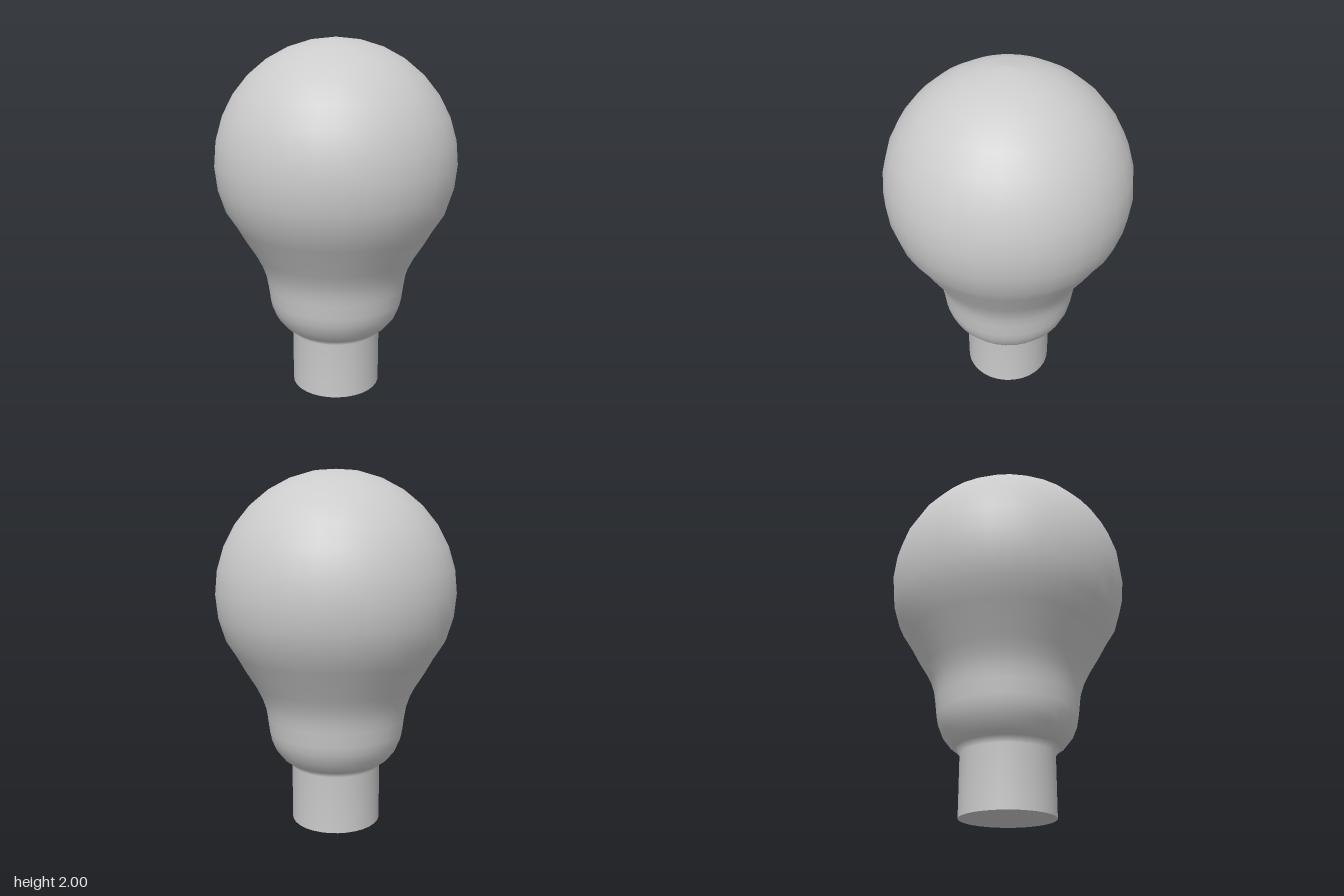
import * as THREE from 'three';

const SEGMENTS = 32;
const material = new THREE.MeshStandardMaterial({ color: 0xcccccc, side: THREE.DoubleSide });

function lathe(name, points) {
  const profile = points.map(([r, y]) => new THREE.Vector2(r, y));
  const mesh = new THREE.Mesh(new THREE.LatheGeometry(profile, SEGMENTS), material);
  mesh.name = name;
  return mesh;
}

export function createModel() {
  const group = new THREE.Group();
  group.name = 'lightBulb';

  // Glass: flared neck, then a spherical globe up to the pole
  const radius = 0.67, centreY = 1.33;
  const glass = [
    [0.28, 0.36], [0.31, 0.38], [0.35, 0.43], [0.375, 0.49], [0.385, 0.54],
    [0.395, 0.62], [0.405, 0.68], [0.425, 0.74], [0.46, 0.81], [0.51, 0.89], [0.56, 0.98],
  ];
  for (let i = -2; i <= 8; i++) {
    const a = (i / 8) * Math.PI / 2;
    glass.push([Math.max(0, radius * Math.cos(a)), centreY + radius * Math.sin(a)]);
  }
  group.add(lathe('glassBulb', glass));

  // Base: plain cylinder with a small collar under the glass
  group.add(lathe('base', [[0.255, 0], [0.255, 0.33], [0.28, 0.36]]));

  // Flat underside
  const bottom = new THREE.Mesh(new THREE.CircleGeometry(0.255, SEGMENTS), material);
  bottom.name = 'baseBottom';
  bottom.rotation.x = Math.PI / 2;
  group.add(bottom);

  return group;
}
